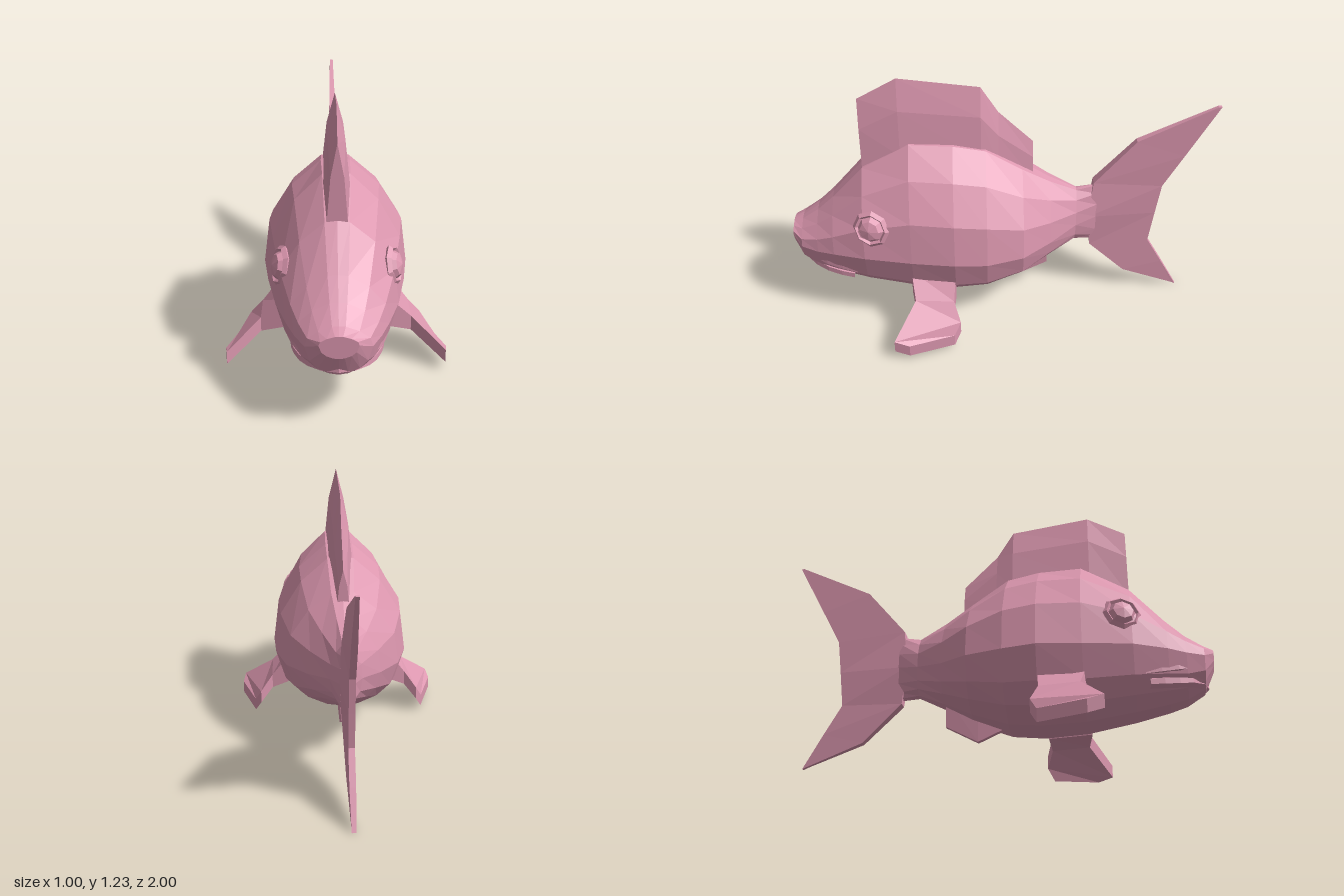
import * as THREE from 'three';

const pink = new THREE.MeshStandardMaterial({ color: 0xdd98b0 });
pink.name = 'pink';
pink.flatShading = true;

// Joins equal-length rings of [x, y, z] points, closes both ends, faces outward
function loft(rings) {
  const tris = [];
  const n = rings[0].length;
  const centre = r => [0, 1, 2].map(k => r.reduce((s, p) => s + p[k], 0) / n);
  for (let i = 0; i < rings.length - 1; i++) {
    for (let j = 0; j < n; j++) {
      const k = (j + 1) % n;
      const a = rings[i][j], b = rings[i][k], c = rings[i + 1][k], d = rings[i + 1][j];
      tris.push([a, b, c], [a, c, d]);
    }
  }
  const first = rings[0], last = rings[rings.length - 1];
  const c0 = centre(first), c1 = centre(last);
  for (let j = 0; j < n; j++) {
    const k = (j + 1) % n;
    tris.push([c0, first[k], first[j]], [c1, last[j], last[k]]);
  }
  const v = p => new THREE.Vector3(...p);
  const volume = tris.reduce((s, [a, b, c]) => s + v(a).dot(v(b).cross(v(c))), 0);
  if (volume < 0) tris.forEach(t => t.reverse());
  const geo = new THREE.BufferGeometry();
  geo.setAttribute('position', new THREE.Float32BufferAttribute(tris.flat(2), 3));
  geo.computeVertexNormals();
  return geo;
}

function add(parent, name, geo) {
  const mesh = new THREE.Mesh(geo, pink);
  mesh.name = name;
  parent.add(mesh);
  return mesh;
}

// Half of the body's cross-section, from the back down to the belly
const halfSection = [[0, 1], [0.2, 0.98], [0.6, 0.75], [0.92, 0.41], [1, 0],
  [0.86, -0.5], [0.62, -0.77], [0.28, -0.95], [0, -1]];
const section = [...halfSection, ...halfSection.slice(1, -1).reverse().map(([x, y]) => [-x, y])];

// z, top, bottom, half width, height of the widest point
const bodyStations = [
  [0.995, 0.47, 0.37, 0.08, 0.43],
  [0.95, 0.49, 0.27, 0.135, 0.40],
  [0.87, 0.55, 0.22, 0.175, 0.40],
  [0.79, 0.63, 0.195, 0.21, 0.41],
  [0.64, 0.80, 0.16, 0.26, 0.42],
  [0.42, 0.93, 0.12, 0.30, 0.42],
  [0.22, 0.92, 0.11, 0.325, 0.42],
  [0.07, 0.89, 0.125, 0.315, 0.41],
  [-0.10, 0.775, 0.19, 0.265, 0.41],
  [-0.23, 0.69, 0.26, 0.17, 0.42],
  [-0.36, 0.62, 0.32, 0.075, 0.45],
  [-0.46, 0.64, 0.31, 0.035, 0.47],
];

// Dorsal fin columns: z, base height, top height, half thickness
const dorsalStations = [
  [0.64, 0.77, 1.13, 0.045], [0.46, 0.86, 1.23, 0.06], [0.09, 0.84, 1.18, 0.06],
  [0.01, 0.78, 1.05, 0.05], [-0.15, 0.70, 0.89, 0.03],
];

// Tail rows: leading z, y, trailing z, y, leading and trailing half thickness
const tailRows = [
  [-0.88, 0.01, -0.9, 0, 0.01, 0.01],
  [-0.62, 0.11, -0.81, 0.16, 0.016, 0.014],
  [-0.44, 0.29, -0.73, 0.30, 0.024, 0.014],
  [-0.42, 0.47, -0.75, 0.47, 0.038, 0.014],
  [-0.44, 0.66, -0.77, 0.63, 0.024, 0.014],
  [-0.63, 0.885, -0.86, 0.80, 0.016, 0.014],
  [-0.985, 1.06, -1, 1.06, 0.008, 0.008],
];

// Pectoral fin rows: front x, y, z, back x, y, z, half thickness
const pectoralRows = [
  [0.24, 0.255, 0.43, 0.26, 0.25, 0.22, 0.07],
  [0.34, 0.19, 0.41, 0.34, 0.18, 0.23, 0.035],
  [0.49, 0.075, 0.51, 0.40, 0.105, 0.20, 0.03],
  [0.5, 0.055, 0.44, 0.43, 0.05, 0.23, 0.03],
];

// Low-sided lip running round the snout
function lip(points, radius) {
  const left = points.map(([x, y, z]) => new THREE.Vector3(x, y, z));
  const right = points.slice(1).reverse().map(([x, y, z]) => new THREE.Vector3(-x, y, z));
  return new THREE.TubeGeometry(new THREE.CatmullRomCurve3([...right, ...left]), 10, radius, 6);
}

export function createModel() {
  const fish = new THREE.Group();
  fish.name = 'fish';

  add(fish, 'body', loft(bodyStations.map(([z, top, bottom, w, mid]) =>
    section.map(([x, y]) => [x * w, mid + y * (y > 0 ? top - mid : mid - bottom), z]))));

  add(fish, 'dorsalFin', loft(dorsalStations.map(([z, base, top, t]) => {
    const mid = base + (top - base) * 0.6;
    return [[-t, base, z], [-t * 0.62, mid, z], [0, top, z], [t * 0.62, mid, z], [t, base, z]];
  })));

  add(fish, 'tailFin', loft(tailRows.map(([z0, y0, z1, y1, a, b]) =>
    [[-a, y0, z0], [a, y0, z0], [b, y1, z1], [-b, y1, z1]])));

  // Small fin under the belly: z, top, bottom
  add(fish, 'analFin', loft([[0.03, 0.22, 0.14], [-0.08, 0.26, 0.09], [-0.23, 0.32, 0.17]].map(
    ([z, top, bottom]) => [[-0.025, top, z], [0.025, top, z], [0.013, bottom, z], [-0.013, bottom, z]])));

  // Mouth
  add(fish, 'upperLip', lip([[0, 0.375, 0.965], [0.09, 0.365, 0.925], [0.155, 0.335, 0.82], [0.19, 0.31, 0.68]], 0.027));
  add(fish, 'lowerLip', lip([[0, 0.3, 0.945], [0.08, 0.295, 0.91], [0.145, 0.275, 0.81], [0.175, 0.265, 0.70]], 0.026));

  for (const side of [1, -1]) {
    const name = side > 0 ? 'left' : 'right';

    add(fish, name + 'PectoralFin', loft(pectoralRows.map(([x0, y0, z0, x1, y1, z1, t]) =>
      [[side * x0, y0 + t, z0], [side * x1, y1 + t, z1],
        [side * x1, y1 - t, z1], [side * x0, y0 - t, z0]])));

    // Faceted eye in an eight-sided rim
    const eye = new THREE.Group();
    eye.name = name + 'Eye';
    add(eye, 'eyeball', new THREE.SphereGeometry(0.066, 8, 4).rotateX(Math.PI / 2).scale(1, 1, 0.6));
    add(eye, 'eyeRim', new THREE.TorusGeometry(0.074, 0.016, 4, 8));
    eye.position.set(side * 0.236, 0.58, 0.6);
    eye.lookAt(side * 1.2, 0.83, 0.9);
    fish.add(eye);
  }
  return fish;
}
